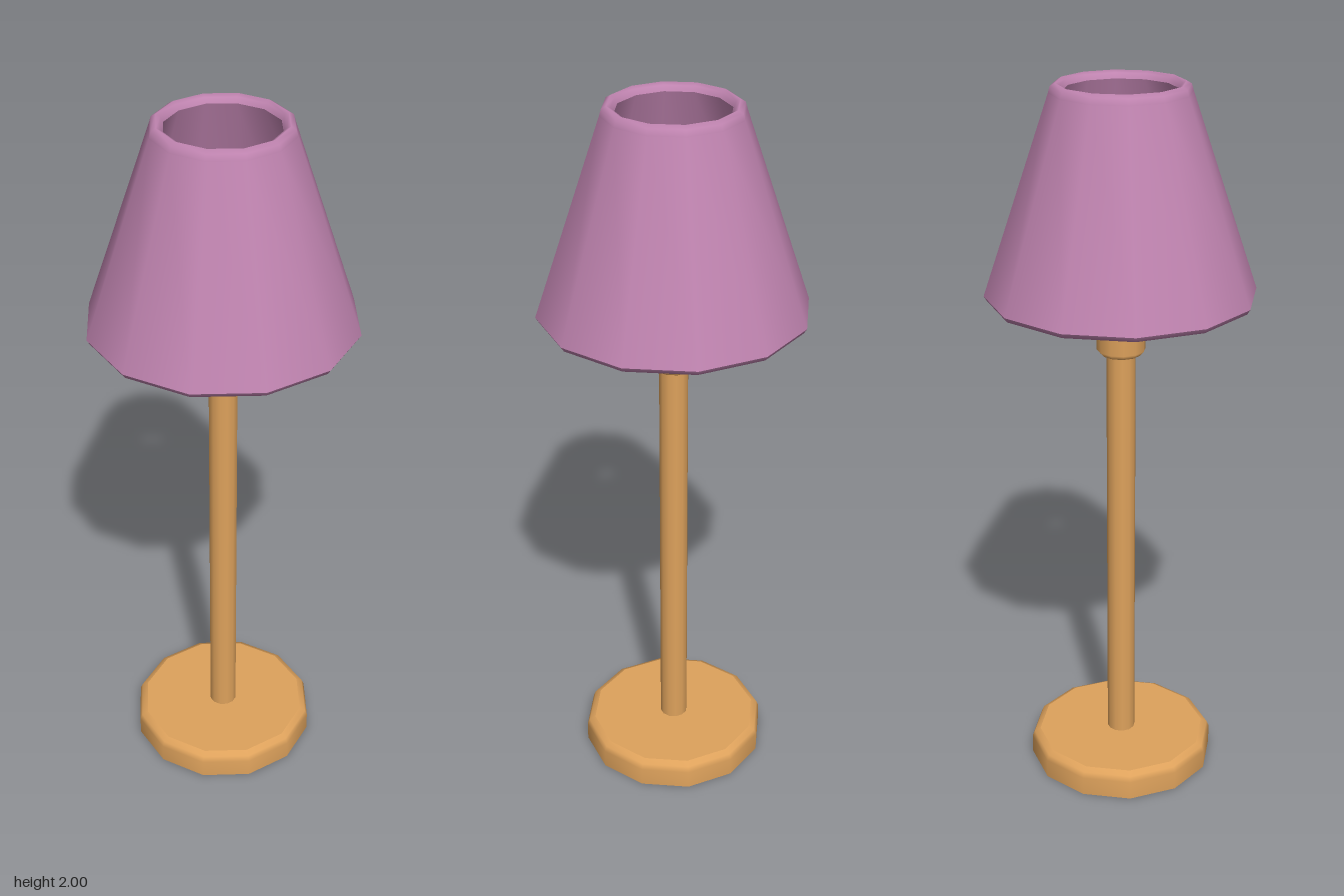
import * as THREE from 'three';
import { mergeGeometries } from 'three/addons/utils/BufferGeometryUtils.js';

const SIDES = 12;
const TURN = THREE.MathUtils.degToRad(22.5);

// Revolve several profiles; shading is smooth along each one and sharp between them.
function turned(name, material, ...profiles) {
  const parts = profiles.map((profile) =>
    new THREE.LatheGeometry(profile.map(([r, y]) => new THREE.Vector2(r, y)), SIDES, TURN));
  const mesh = new THREE.Mesh(mergeGeometries(parts), material);
  mesh.name = name;
  return mesh;
}

function flat(name, color) {
  const material = new THREE.MeshStandardMaterial({ color });
  material.name = name;
  return material;
}

export function createModel() {
  const wood = flat('wood', 0xdea25c);
  const fabric = flat('shade fabric', 0xc084b0);
  const glass = flat('bulb glass', 0xe6cca4);

  const lamp = new THREE.Group();
  lamp.name = 'tableLamp';

  // Round foot with a bevelled top and a small hole underneath
  lamp.add(turned('base', wood,
    [[0.034, 0], [0.267, 0]],
    [[0.267, 0], [0.267, 0.055], [0.26, 0.071], [0.243, 0.08]],
    [[0.243, 0.08], [0, 0.08]],
    [[0.034, 0.08], [0.034, 0]]));

  // Slender post
  lamp.add(turned('post', wood,
    [[0, 0.07], [0.04, 0.07]],
    [[0.04, 0.07], [0.04, 1.28]]));

  // Bulb holder
  lamp.add(turned('socket', wood,
    [[0, 1.27], [0.056, 1.27]],
    [[0.056, 1.27], [0.067, 1.283], [0.067, 1.62]],
    [[0.067, 1.62], [0, 1.62]]));

  // Bulb
  const bulb = new THREE.Mesh(new THREE.SphereGeometry(0.082, SIDES, 8), glass);
  bulb.name = 'bulb';
  bulb.rotation.y = TURN;
  bulb.position.y = 1.68;
  lamp.add(bulb);

  // Hollow tapered shade with rounded rims
  lamp.add(turned('shade', fabric,
    [[0.366, 1.443], [0.186, 1.975]],
    [[0.186, 1.975], [0.181, 1.992], [0.168, 2], [0.157, 1.994], [0.15, 1.98]],
    [[0.15, 1.98], [0.332, 1.443]],
    [[0.332, 1.443], [0.338, 1.432], [0.358, 1.43], [0.366, 1.443]]));

  return lamp;
}
